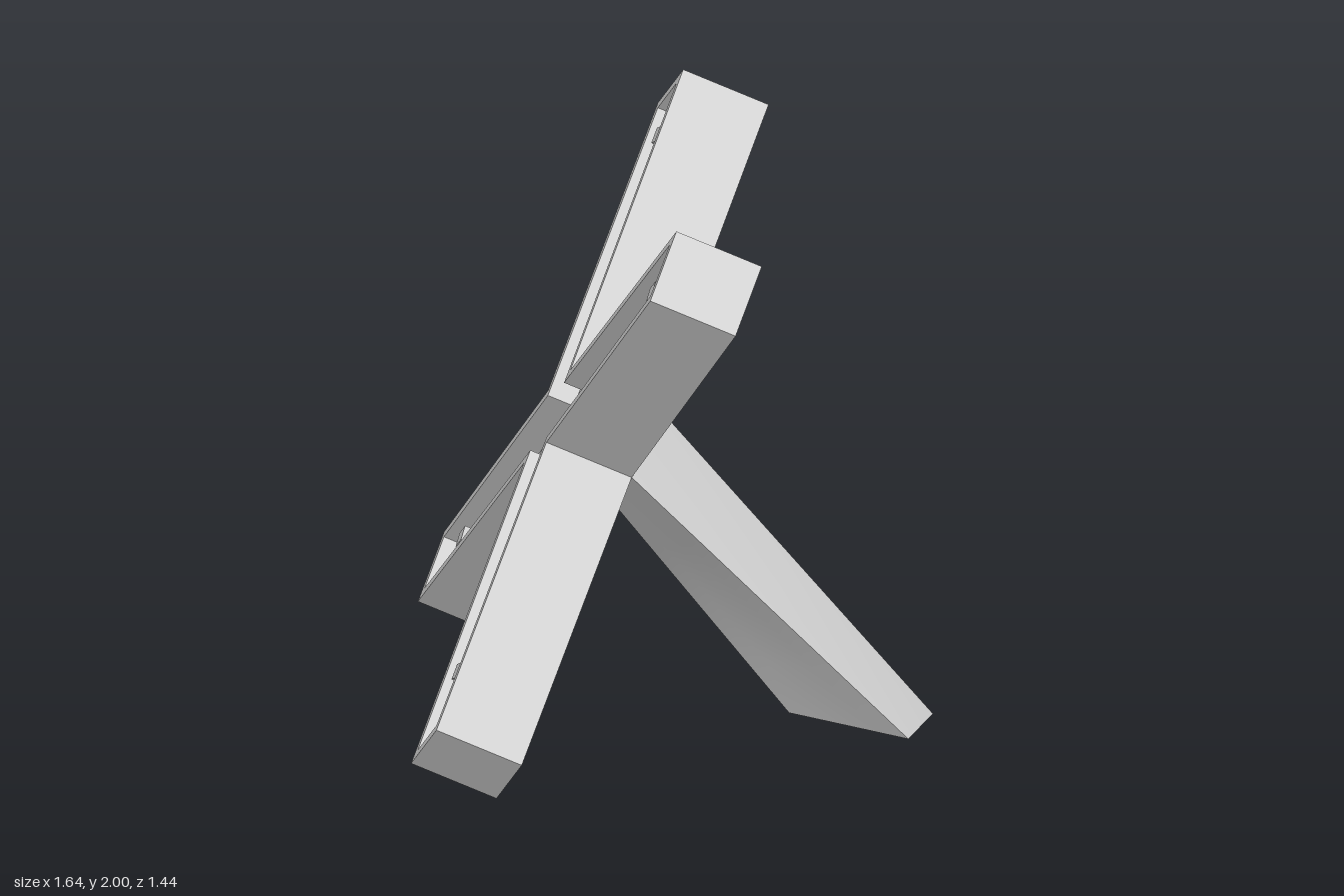
import * as THREE from 'three';

const flat = new THREE.MeshStandardMaterial({ color: 0xcccccc, flatShading: true });
const smooth = new THREE.MeshStandardMaterial({ color: 0xcccccc });
const HALF = 0.148;   // half thickness of the cross
const FLOOR = -0.058; // depth of the recessed back
const TILT = Math.atan2(0.41, 0.912);

// One quarter (crotch, two end corners, side crotch) mirrored into a full X outline;
// one diagonal beam is slightly shorter than the other
function crossPoints([top, endA, endB, side]) {
  const flip = (p, sx, sy) => new THREE.Vector2(p[0] * sx, p[1] * sy)
    .multiplyScalar(sx === sy ? 1 : 0.987);
  return [
    flip(top, 1, 1), flip(endA, -1, 1), flip(endB, -1, 1), flip(side, -1, -1),
    flip(endB, -1, -1), flip(endA, -1, -1), flip(top, -1, -1), flip(endA, 1, -1),
    flip(endB, 1, -1), flip(side, 1, 1), flip(endB, 1, 1), flip(endA, 1, 1),
  ];
}
const outer = crossPoints([[0, 0.18], [0.585, 1.03], [0.722, 0.83], [0.19, 0]]);
const inner = crossPoints([[0, 0.13], [0.585, 0.977], [0.685, 0.83], [0.154, 0]]);

function slab(name, shape, from, to) {
  const geometry = new THREE.ExtrudeGeometry(shape, { depth: to - from, bevelEnabled: false });
  geometry.translate(0, 0, from);
  const mesh = new THREE.Mesh(geometry, flat);
  mesh.name = name;
  return mesh;
}

// Gently twisted four-cornered face: a-b is its upper edge, c-d its lower edge
function patch(a, b, c, d) {
  const geometry = new THREE.PlaneGeometry(1, 1, 4, 4);
  const pos = geometry.attributes.position;
  for (let i = 0; i < pos.count; i++) {
    const s = pos.getX(i) + 0.5;
    const t = 0.5 - pos.getY(i);
    const p = a.clone().lerp(b, s).lerp(c.clone().lerp(d, s), t);
    pos.setXYZ(i, p.x, p.y, p.z);
  }
  geometry.computeVertexNormals();
  return new THREE.Mesh(geometry, smooth);
}

// Rear leg: a kite section lofted from the cross to a flat foot
function buildLeg(a, b) {
  const leg = new THREE.Group();
  leg.name = 'leg';
  for (let i = 0; i < 4; i++) {
    const j = (i + 1) % 4;
    const face = patch(a[j], a[i], b[j], b[i]);
    face.name = 'legSide';
    leg.add(face);
  }
  const foot = patch(b[0], b[3], b[1], b[2]);
  foot.name = 'legFoot';
  leg.add(foot);
  return leg;
}

export function createModel() {
  const model = new THREE.Group();
  model.name = 'crossedBeams';

  // Tilted cross: local y runs along the slope, local z is its outward normal
  const up = new THREE.Vector3(Math.sin(TILT), Math.cos(TILT), 0);
  const normal = new THREE.Vector3(Math.cos(TILT), -Math.sin(TILT), 0);
  const cross = new THREE.Group();
  cross.name = 'cross';
  cross.quaternion.setFromRotationMatrix(
    new THREE.Matrix4().makeBasis(new THREE.Vector3(0, 0, -1), up, normal));
  cross.position.set(-0.265, 1, 0);
  model.add(cross);

  cross.add(slab('crossBody', new THREE.Shape(outer), FLOOR, HALF));
  const rim = new THREE.Shape(outer);
  rim.holes.push(new THREE.Path(inner));
  cross.add(slab('crossRim', rim, -HALF, FLOOR));

  // Small square pegs near the end of each channel
  for (const side of [-1, 1]) {
    for (const [x, y] of [[0.575, 0.79], [0.495, -0.715]]) {
      const peg = new THREE.Mesh(new THREE.BoxGeometry(0.052, 0.052, 0.075), flat);
      peg.name = 'peg';
      peg.position.set(side * x, y, -0.0975);
      peg.rotation.z = -side * Math.sign(y) * 0.59;
      cross.add(peg);
    }
  }

  // Leg starts on the four inner corners of the cross
  const onFront = (u, z) => new THREE.Vector3(0, 0, z).add(cross.position)
    .addScaledVector(up, u).addScaledVector(normal, HALF);
  const foot = [[0.82, 0], [0.745, 0.187], [0.365, 0], [0.745, -0.187]];
  model.add(buildLeg(
    [onFront(0.18, 0), onFront(0, 0.19), onFront(-0.18, 0), onFront(0, -0.19)],
    foot.map(([x, z]) => new THREE.Vector3(x, 0.027, z)),
  ));
  return model;
}
